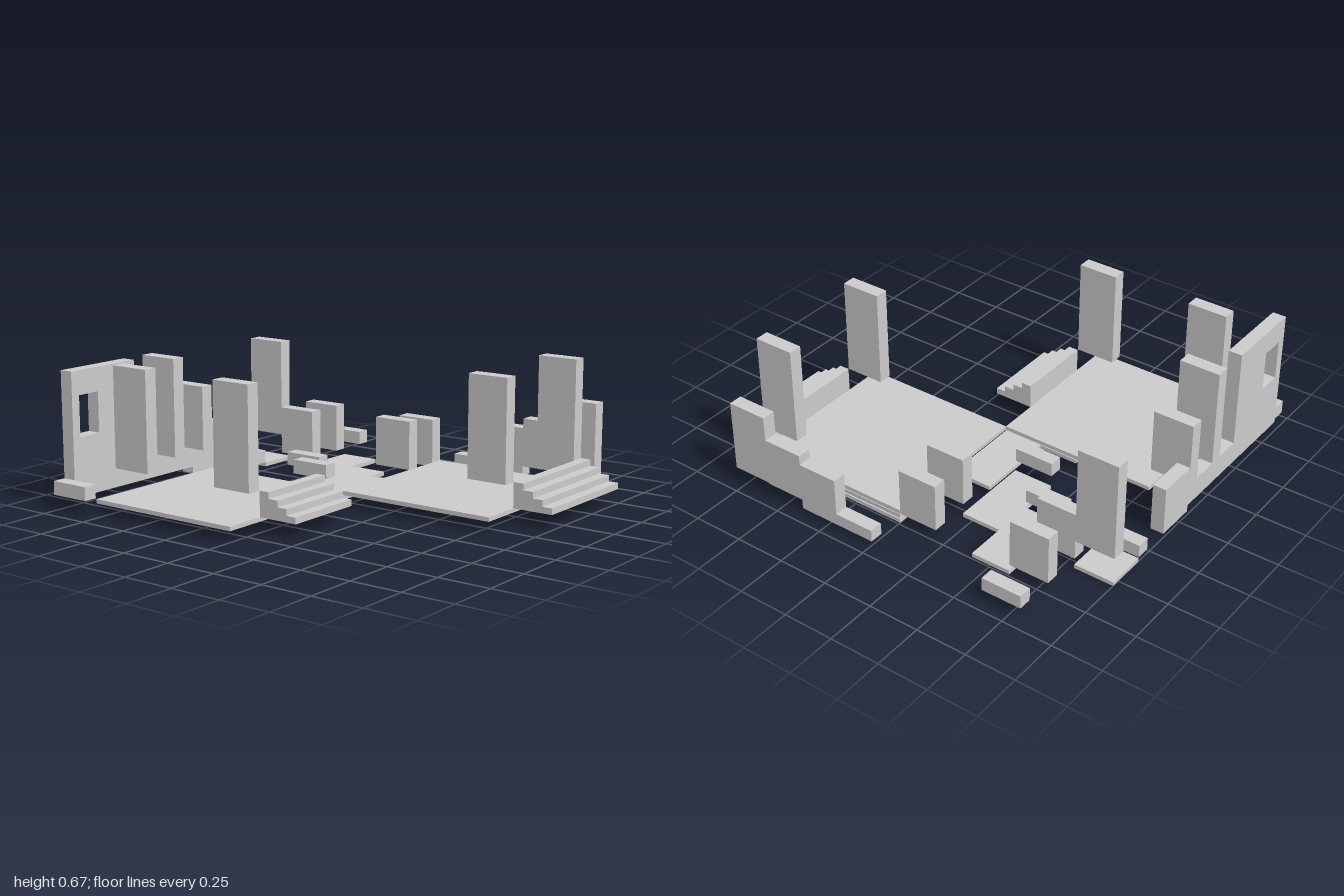
import * as THREE from 'three';

const material = new THREE.MeshStandardMaterial({ color: 0xcccccc, flatShading: true });
const T = 0.067; // wall thickness

export function createModel() {
  const model = new THREE.Group();

  // box given by its limits on each axis
  const block = (name, x0, x1, y0, y1, z0, z1, parent = model) => {
    const mesh = new THREE.Mesh(new THREE.BoxGeometry(x1 - x0, y1 - y0, z1 - z0), material);
    mesh.position.set((x0 + x1) / 2, (y0 + y1) / 2, (z0 + z1) / 2);
    mesh.name = name;
    parent.add(mesh);
  };

  // wall panel one cell wide, facing front
  const panel = (name, x, z, y0, y1) => block(name, x, x + 0.2, y0, y1, z, z + T);

  // two main platforms
  block('frontPlatform', -0.8, 0, 0.05, 0.07, 0.06, 0.86);
  block('rearPlatform', 0, 0.8, 0.05, 0.07, -0.74, 0.06);

  // floor slabs of the middle level: x0, x1, z0, z1
  for (const [x0, x1, z0, z1] of [
    [0, 0.6, -0.74, -0.54], [0, 0.2, -0.54, -0.34],
    [-0.2, 0, -0.34, 0.06], [-0.4, 0, 0.06, 0.26],
  ]) block('middleFloor', x0, x1, 0.027, 0.046, z0, z1);

  // floor slabs of the lowest level
  for (const [x0, x1, z0, z1] of [
    [0, 0.4, -0.74, -0.54], [-0.4, -0.2, -0.54, -0.14], [-0.2, 0, 0.06, 0.26],
    [-0.6, -0.4, -0.74, -0.34], [-1, -0.8, -0.54, -0.34],
  ]) block('lowFloor', x0, x1, 0, 0.02, z0, z1);

  // stairs descending towards +x
  const stairs = (name, x, z0, z1) => {
    const profile = new THREE.Shape();
    profile.moveTo(x, 0.07);
    profile.lineTo(x + 0.2, 0.07);
    for (let i = 0; i < 4; i++) {
      const right = x + 0.2 - i * 0.05, top = 0.1 + i * 0.03;
      profile.lineTo(right, top);
      profile.lineTo(right - 0.05, top);
    }
    const geometry = new THREE.ExtrudeGeometry(profile, { depth: z1 - z0, bevelEnabled: false });
    geometry.translate(0, 0, z0);
    const mesh = new THREE.Mesh(geometry, material);
    mesh.name = name;
    model.add(mesh);
  };
  stairs('frontStairs', 0, 0.26, 0.66);
  stairs('rearStairs', 0.8, -0.74, -0.14);

  // tall panels beside the stairs
  for (const [x, z] of [[-0.8, 0.665], [-0.2, 0.665], [0.6, -0.137], [0.6, -0.737]])
    panel('tallPanel', x, z, 0.19, 0.67);

  // side wall with a window, then its lower runs
  const side = new THREE.Shape([
    [0.46, 0.055], [0.865, 0.055], [0.865, 0.645], [0.46, 0.645],
  ].map(([z, y]) => new THREE.Vector2(z, y)));
  side.holes.push(new THREE.Path([
    [0.7, 0.335], [0.7, 0.53], [0.82, 0.53], [0.82, 0.335],
  ].map(([z, y]) => new THREE.Vector2(z, y))));
  const sideGeometry = new THREE.ExtrudeGeometry(side, { depth: T, bevelEnabled: false });
  sideGeometry.rotateY(-Math.PI / 2).translate(T - 1, 0, 0);
  const windowWall = new THREE.Mesh(sideGeometry, material);
  windowWall.name = 'windowWall';
  model.add(windowWall);
  block('lowSideWall', -1, T - 1, 0.055, 0.167, 0.064, 0.46);
  block('endSideWall', -1, T - 1, 0.022, 0.262, -0.137, 0.064);

  // panels joining the side wall
  panel('sidePanel', -1, 0.265, 0.167, 0.645);
  panel('sidePanel', -1, 0.065, 0.167, 0.482);
  panel('cornerLedge', -1, 0.865, 0.075, 0.14);

  // stepped rear wall, rising towards +x
  [[0.022, 0.08], [0.022, 0.262], [0.07, 0.31], [0.075, 0.43]].forEach(([y0, y1], i) =>
    panel('rearWall', i * 0.2, -0.937, y0, y1));

  // broken wall pieces around the low floor: x, z, bottom, top
  for (const [x, z, y0, y1] of [
    [-1, -0.537, 0.145, 0.625], [-0.8, -0.537, 0.05, 0.286], [-0.2, -0.537, 0.07, 0.31],
    [-0.8, -0.737, 0.05, 0.286], [-0.2, -0.737, 0.05, 0.286],
  ]) panel('brokenWall', x, z, y0, y1);
  for (const [x, z, y0, y1] of [
    [-0.4, -0.137, 0.072, 0.14], [-0.6, -0.337, 0.05, 0.115],
    [-1, -0.337, 0.022, 0.085], [-0.8, -0.937, 0.05, 0.115],
  ]) panel('lowLedge', x, z, y0, y1);

  return model;
}
